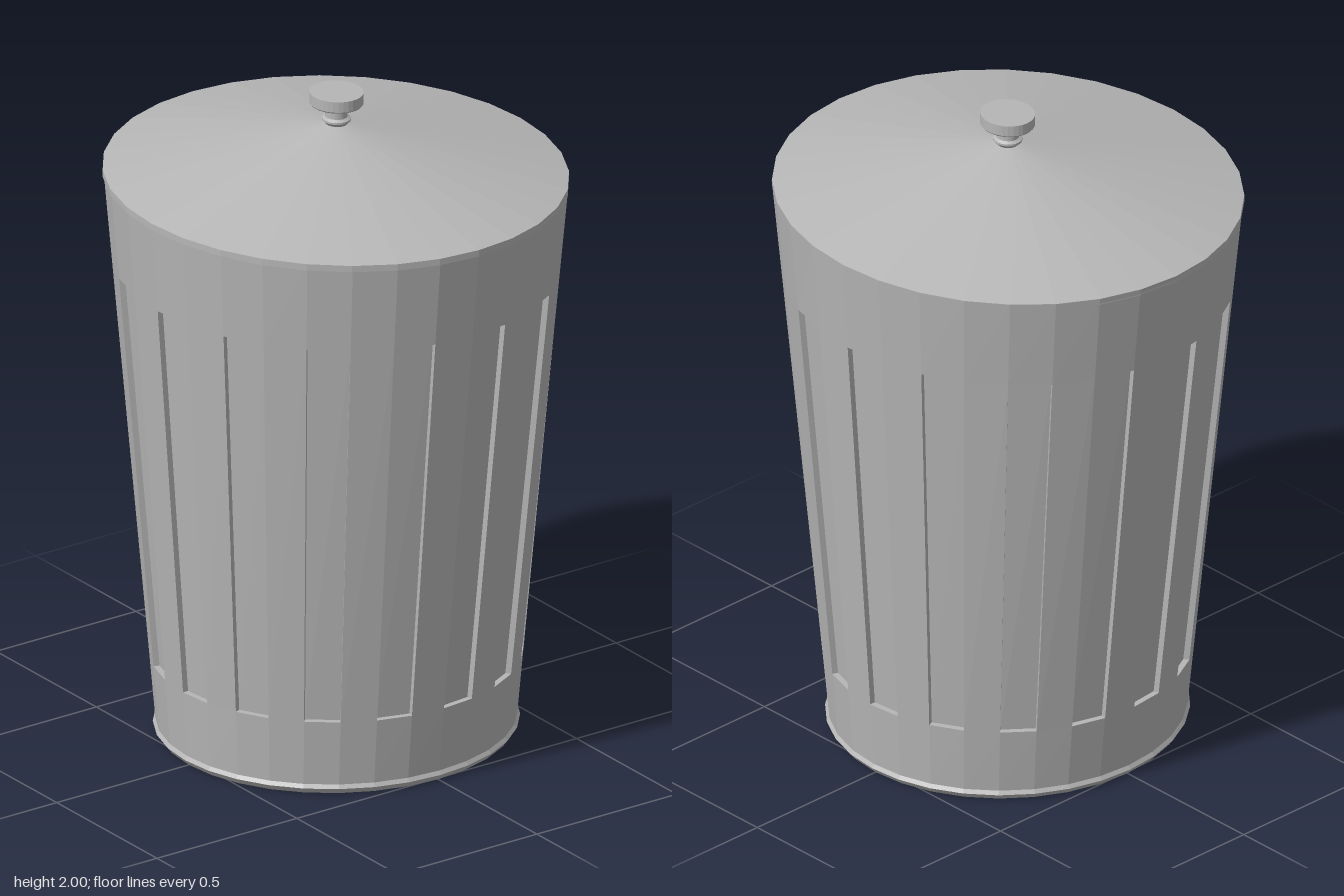
import * as THREE from 'three';

const SIDES = 32;
const STEP = (Math.PI * 2) / SIDES;

// Point on the tapering oval wall: segment index, height, depth below the surface
function wall(i, y, inset = 0) {
  const t = (y - 0.025) / (1.75 - 0.025);
  const rx = 0.533 + 0.127 * t - inset;
  const rz = 0.512 + 0.202 * t - inset;
  return [Math.sin(i * STEP) * rx, y, Math.cos(i * STEP) * rz];
}

// Corners run anticlockwise seen from the front of each face
function quadGeometry(quads) {
  const pos = [];
  for (const [a, b, c, d] of quads) pos.push(...a, ...b, ...c, ...a, ...c, ...d);
  const g = new THREE.BufferGeometry();
  g.setAttribute('position', new THREE.Float32BufferAttribute(pos, 3));
  g.computeVertexNormals();
  return g;
}

export function createModel() {
  const model = new THREE.Group();
  model.name = 'trashCan';
  const metal = new THREE.MeshStandardMaterial({ color: 0xb6b6b6, flatShading: true });
  metal.name = 'greyMetal';

  function add(name, geometry) {
    const mesh = new THREE.Mesh(geometry, metal);
    mesh.name = name;
    model.add(mesh);
    return mesh;
  }
  // Round profile stretched into an oval
  function ovalLathe(name, points, sx, sz) {
    const g = new THREE.LatheGeometry(points.map(p => new THREE.Vector2(...p)), SIDES);
    g.scale(sx, 1, sz);
    return add(name, g);
  }

  // Body wall, every other segment holding a sunken panel
  const bottom = 0.025, low = 0.235, high = 1.465, top = 1.75, depth = 0.018;
  const body = [], panels = [];
  const band = (i, y0, y1, d = 0) =>
    [wall(i, y0, d), wall(i + 1, y0, d), wall(i + 1, y1, d), wall(i, y1, d)];
  for (let i = 0; i < SIDES; i++) {
    body.push(band(i, bottom, low), band(i, high, top));
    if (i % 2) {
      body.push(band(i, low, high));
      continue;
    }
    const [a, b, c, d] = band(i, low, high);
    const [e, f, g, h] = band(i, low, high, depth);
    panels.push([e, f, g, h]);
    panels.push([a, b, f, e], [b, c, g, f], [c, d, h, g], [d, a, e, h]);
  }
  add('body', quadGeometry(body));
  add('sunkenPanels', quadGeometry(panels));

  // Base rim with the floor inside it
  ovalLathe('base', [[0, 0.006], [0.955, 0.006], [0.96, 0], [0.975, 0], [1.0, 0.018], [0.985, 0.03]], 0.541, 0.52);

  // Shallow conical lid with a thin rim
  const lid = ovalLathe('lid', [[0, 1.73], [1, 1.73], [1, 1.75], [0, 1.908]], 0.661, 0.714);
  lid.position.set(-0.003, 0, 0.001);

  // Knob: flared foot, stem and flat cap
  ovalLathe('knob', [
    [0, 1.9], [0.03, 1.9], [0.041, 1.912], [0.041, 1.918], [0.032, 1.924],
    [0.032, 1.963], [0.074, 1.963], [0.077, 1.967], [0.077, 2], [0, 2],
  ], 1, 1.08);

  return model;
}
